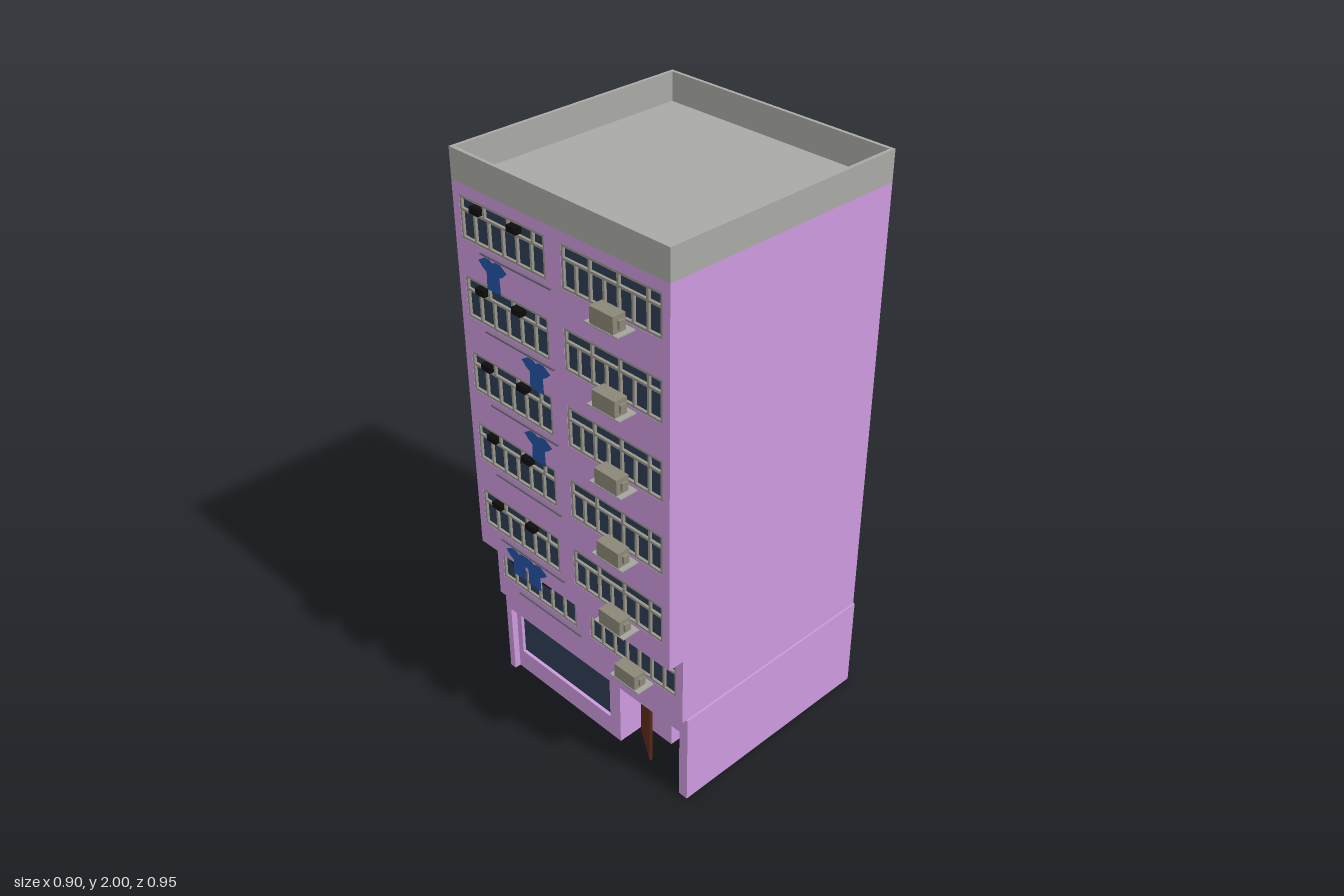
import * as THREE from 'three';

const mat = (color, extra = {}) => new THREE.MeshStandardMaterial({ color, ...extra });
const M = {
  wall: mat(0xcd9bdf), concrete: mat(0xa9a9a4), glass: mat(0x2f3d55), frame: mat(0x98968a),
  unit: mat(0x8c8878), tray: mat(0xa4a49e), vent: mat(0x0c0c0c), rod: mat(0x70687a),
  door: mat(0x5a2a18), stair: mat(0x8c8878), shirt: mat(0x2253a5, { side: THREE.DoubleSide }),
};

// Box given by its extents on each axis
function box(parent, name, m, x0, x1, y0, y1, z0, z1) {
  const mesh = new THREE.Mesh(new THREE.BoxGeometry(x1 - x0, y1 - y0, z1 - z0), m);
  mesh.position.set((x0 + x1) / 2, (y0 + y1) / 2, (z0 + z1) / 2);
  mesh.name = name;
  parent.add(mesh);
  return mesh;
}

const rect = (C, x0, x1, y0, y1) => new C([[x0, y0], [x1, y0], [x1, y1], [x0, y1]].map(p => new THREE.Vector2(...p)));

// Flat outline with rectangular holes, extruded from z0 to z1
function slab(parent, name, m, shape, holes, z0, z1) {
  shape.holes = holes.map(h => rect(THREE.Path, ...h));
  const mesh = new THREE.Mesh(new THREE.ExtrudeGeometry(shape, { depth: z1 - z0, bevelEnabled: false }), m);
  mesh.position.z = z0;
  mesh.name = name;
  parent.add(mesh);
  return mesh;
}

const points = list => new THREE.Shape(list.map(p => new THREE.Vector2(...p)));

const X0 = -0.45, X1 = 0.442, BACK = -0.475;   // upper body
const G0 = -0.445, G1 = 0.448;                 // ground floor
const FRONT = 0.41, FRONT2 = 0.352, FRONT1 = 0.335;
const STEP = 0.2585, WIN_Y = 1.725, WIN_H = 0.138;
const WINDOWS = [{ x0: -0.42, x1: -0.048, panes: 6 }, { x0: 0.02, x1: 0.413, panes: 7 }];
const SHIRTS = [[-0.265], [-0.093], [-0.102], [], [-0.235, -0.16], []];

// Window with a lower row of narrow panes and a transom row of wide ones
function windowUnit(parent, { x0, x1, panes }, y, z) {
  const g = new THREE.Group();
  g.name = 'window';
  const t = 0.008, top = y + WIN_H, mid = y + 0.09;
  box(g, 'glass', M.glass, x0, x1, y, top, z - 0.03, z - 0.01);
  const bar = (a, b, c, d) => box(g, 'windowFrame', M.frame, a, b, c, d, z - 0.02, z - 0.001);
  bar(x0, x1, y, y + t);
  bar(x0, x1, top - t, top);
  bar(x0, x1, mid, mid + t);
  bar(x0, x0 + t, y, top);
  bar(x1 - t, x1, y, top);
  for (let i = 1; i < panes; i++) {
    const x = x0 + (x1 - x0) * i / panes;
    bar(x - t / 2, x + t / 2, y, mid);
  }
  for (let i = 1; i < 4; i++) {
    const x = x0 + (x1 - x0) * i * 2 / 7;
    bar(x - t / 2, x + t / 2, mid, top);
  }
  parent.add(g);
}

// Air conditioner on a thin tray
function airConditioner(parent, y, z) {
  const g = new THREE.Group();
  g.name = 'airConditioner';
  box(g, 'tray', M.tray, 0.183, 0.313, y - 0.012, y - 0.008, z, z + 0.066);
  box(g, 'casing', M.unit, 0.203, 0.295, y - 0.008, y + 0.045, z + 0.018, z + 0.064);
  box(g, 'sidePipe', M.unit, 0.295, 0.303, y + 0.004, y + 0.03, z + 0.028, z + 0.048);
  parent.add(g);
}

// T-shirt hanging from its shoulders
function shirt(parent, x, y, z) {
  const half = [[0.031, -0.1], [0.029, -0.045], [0.046, -0.035], [0.064, -0.018], [0.035, 0], [0.014, 0], [0, -0.007]];
  const outline = [...half, ...half.slice(0, -1).reverse().map(([a, b]) => [-a, b])];
  const mesh = new THREE.Mesh(new THREE.ShapeGeometry(points(outline)), M.shirt);
  mesh.position.set(x, y, z);
  mesh.name = 'shirt';
  parent.add(mesh);
}

function groundFloor(parent) {
  const g = new THREE.Group();
  g.name = 'groundFloor';
  const top = 0.345, head = 0.255, stairX = 0.24, sideX = 0.4, hallX = 0.11;
  box(g, 'groundFloorBody', M.wall, G0, G1, 0, top, BACK, -0.06);
  // Walls round the stairwell
  slab(g, 'stairwellWall', M.wall, points([[G0, 0], [stairX, 0], [stairX, head], [sideX, head],
    [sideX, 0], [G1, 0], [G1, top], [G0, top]]), [], -0.06, 0.2);
  // Shop wall with the entrance opening
  slab(g, 'shopWall', M.wall, points([[G0, 0], [hallX, 0], [hallX, head], [sideX, head],
    [sideX, 0], [G1, 0], [G1, top], [G0, top]]), [[-0.397, 0.06, 0.08, head]], 0.2, 0.312);
  // Front surround framing the whole shopfront
  slab(g, 'shopfrontSurround', M.wall, points([[G0, 0], [-0.42, 0], [-0.42, 0.275], [0.412, 0.275],
    [0.412, 0], [G1, 0], [G1, top], [G0, top]]), [], 0.312, FRONT1);
  box(g, 'shopWindow', M.glass, -0.397, 0.06, 0.08, head, 0.25, 0.3);
  // Door standing ajar
  const hinge = new THREE.Group();
  hinge.name = 'door';
  hinge.position.set(0.125, 0, 0.225);
  hinge.rotation.y = -Math.atan2(0.075, 0.12);
  box(hinge, 'doorLeaf', M.door, 0, 0.142, 0.002, head - 0.001, -0.005, 0.005);
  g.add(hinge);
  // Stairs climbing towards the back
  const steps = 8, run = 0.026, rise = 0.0245;
  for (let i = 0; i < steps; i++) {
    const z = 0.15 - i * run;
    box(g, 'stairStep', M.stair, stairX, sideX, i * rise, (i + 1) * rise, z - run, z);
  }
  parent.add(g);
}

export function createModel() {
  const model = new THREE.Group();
  model.name = 'apartmentBuilding';
  groundFloor(model);

  const holesFor = floors => floors.flatMap(k => WINDOWS.map(w =>
    [w.x0, w.x1, WIN_Y - k * STEP, WIN_Y - k * STEP + WIN_H]));

  // Second floor, set back under the upper floors
  box(model, 'secondFloorBody', M.wall, X0, X1, 0.345, 0.6, BACK, FRONT2 - 0.03);
  slab(model, 'secondFloorFront', M.wall, rect(THREE.Shape, X0, X1, 0.345, 0.6), holesFor([5]), FRONT2 - 0.03, FRONT2);

  // Upper floors
  box(model, 'upperBody', M.wall, X0, X1, 0.6, 1.9, BACK, FRONT - 0.03);
  slab(model, 'upperFront', M.wall, rect(THREE.Shape, X0, X1, 0.6, 1.9), holesFor([0, 1, 2, 3, 4]), FRONT - 0.03, FRONT);

  // Roof deck and parapet
  const t = 0.012;
  box(model, 'roofDeck', M.concrete, X0 + t, X1 - t, 1.895, 1.903, BACK + t, FRONT - t);
  const parapet = slab(model, 'parapet', M.concrete, rect(THREE.Shape, X0, X1, -FRONT, -BACK),
    [[X0 + t, X1 - t, -FRONT + t, -BACK - t]], 0, 0.1);
  parapet.rotation.x = -Math.PI / 2;
  parapet.position.set(0, 1.9, 0);

  // Windows, vents, drying rods, shirts and air conditioners on each floor
  SHIRTS.forEach((shirts, k) => {
    const floor = new THREE.Group();
    floor.name = 'floorFittings';
    const y = WIN_Y - k * STEP, z = k === 5 ? FRONT2 : FRONT;
    WINDOWS.forEach(w => windowUnit(floor, w, y, z));
    for (const x of [-0.36, -0.195]) box(floor, 'vent', M.vent, x, x + 0.04, y + 0.103, y + 0.124, z - 0.012, z + 0.014);
    box(floor, 'dryingRod', M.rod, -0.325, -0.015, y - 0.014, y - 0.008, z + 0.008, z + 0.014);
    shirts.forEach(x => shirt(floor, x, y - 0.014, z + 0.016));
    airConditioner(floor, y, z);
    model.add(floor);
  });
  return model;
}
